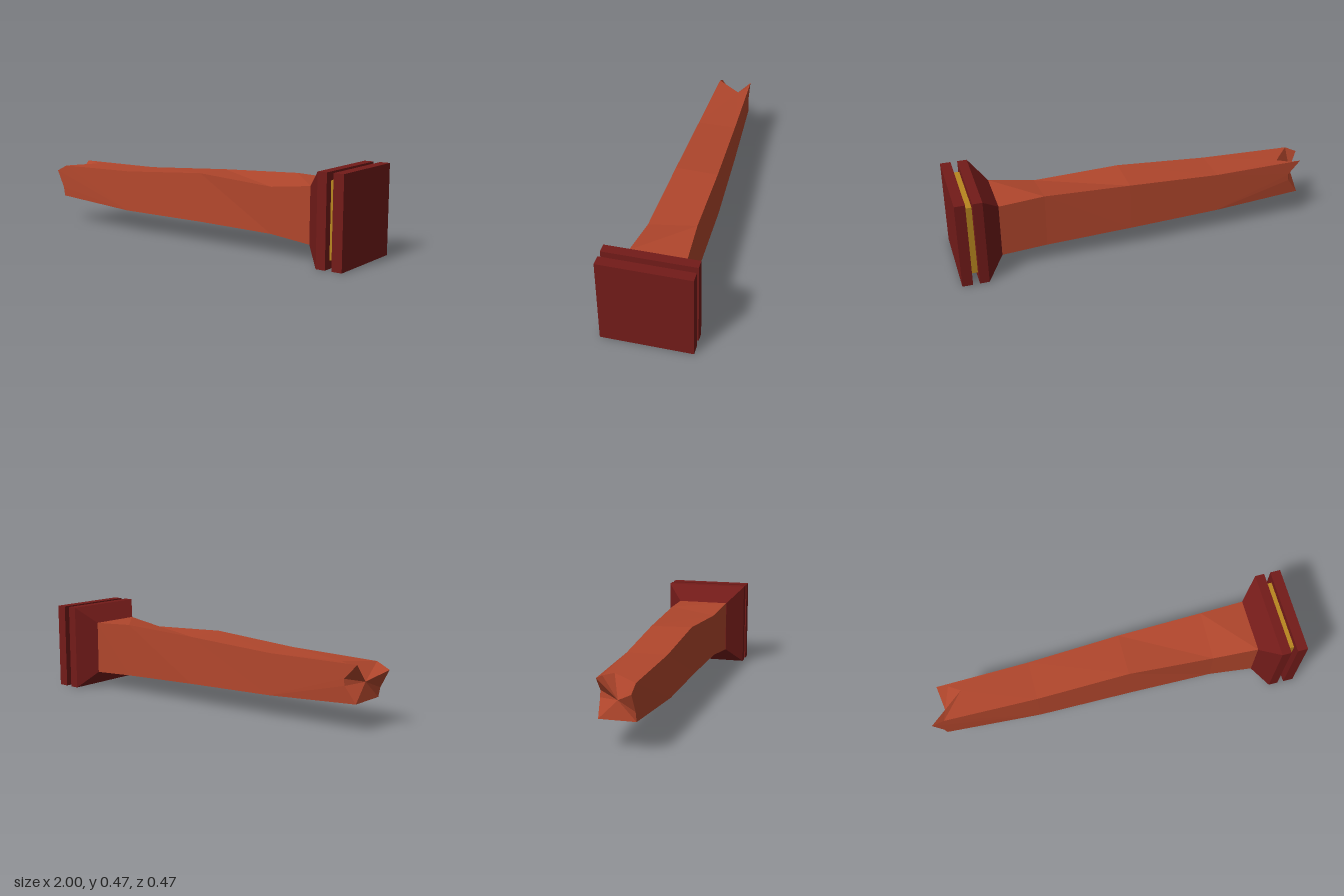
import * as THREE from 'three';

const CY = 0.235; // height of the long axis

const material = (color) => new THREE.MeshStandardMaterial({ color, flatShading: true });

// Square block along x, with its half-size given at each end
function block(name, x0, x1, half0, half1, mat) {
  const geo = new THREE.CylinderGeometry(half1 * Math.SQRT2, half0 * Math.SQRT2, x1 - x0, 4);
  geo.rotateY(Math.PI / 4).rotateZ(-Math.PI / 2);
  const mesh = new THREE.Mesh(geo, mat);
  mesh.name = name;
  mesh.position.set((x0 + x1) / 2, CY, 0);
  return mesh;
}

// Rough-hewn beam: four long edges through uneven sections, ending in a break
function brokenBeam(mat) {
  // Corner order: front top, back top, back bottom, front bottom, as [y, z]
  const sections = [
    [0.77, [[0.38, 0.143], [0.38, -0.145], [0.09, -0.145], [0.09, 0.143]]],
    [0.53, [[0.35, 0.12], [0.39, -0.133], [0.1, -0.137], [0.11, 0.122]]],
    [0.07, [[0.375, 0.1], [0.37, -0.128], [0.115, -0.137], [0.118, 0.118]]],
    [-0.43, [[0.34, 0.1], [0.34, -0.112], [0.122, -0.117], [0.12, 0.117]]],
  ].map(([x, ring]) => ring.map(([y, z]) => [x, y, z]));

  // Jagged end, one run of points per side, corner to corner
  const frontTop = [-0.93, 0.33, 0.09], backTop = [-0.93, 0.34, -0.1];
  const backBottom = [-0.925, 0.145, -0.095], frontBottom = [-0.94, 0.15, 0.095];
  const ends = [
    [frontTop, [-0.81, 0.337, -0.05], [-0.87, 0.338, -0.09], backTop],
    [backTop, [-0.86, 0.265, -0.104], [-0.865, 0.23, -0.104], backBottom],
    [backBottom, frontBottom],
    [frontBottom, [-0.95, 0.2, 0.094], [-1, 0.295, 0.09], frontTop],
  ];
  const core = [-0.92, 0.24, 0]; // middle of the broken face

  const pos = [];
  const tri = (...points) => points.forEach((p) => pos.push(...p));
  for (let s = 0; s < 4; s++) {
    const t = (s + 1) % 4;
    for (let i = 0; i < sections.length - 1; i++) {
      const a = sections[i], b = sections[i + 1];
      tri(a[s], a[t], b[t]);
      tri(a[s], b[t], b[s]);
    }
    // Last stretch fans out from both corners to the deepest notch
    const last = sections[sections.length - 1], e = ends[s];
    const deepest = e.reduce((best, p, i) => (p[0] > e[best][0] ? i : best), 0);
    tri(last[s], last[t], e[deepest]);
    for (let i = 0; i < e.length - 1; i++) {
      tri(i < deepest ? last[s] : last[t], e[i + 1], e[i]);
      tri(core, e[i], e[i + 1]);
    }
  }
  const geo = new THREE.BufferGeometry();
  geo.setAttribute('position', new THREE.Float32BufferAttribute(pos, 3));
  geo.computeVertexNormals();
  const mesh = new THREE.Mesh(geo, mat);
  mesh.name = 'brokenBeam';
  return mesh;
}

export function createModel() {
  const group = new THREE.Group();
  group.name = 'brokenPillar';
  const wood = material(0xb0462c);
  wood.side = THREE.DoubleSide;
  const red = material(0x731b19);
  const gold = material(0xb8861f);

  group.add(
    brokenBeam(wood),
    block('taperedCollar', 0.77, 0.86, 0.145, 0.235, red),
    block('innerPlate', 0.86, 0.91, 0.235, 0.235, red),
    block('goldBand', 0.91, 0.945, 0.193, 0.193, gold),
    block('basePlate', 0.945, 1, 0.235, 0.235, red),
  );
  return group;
}
